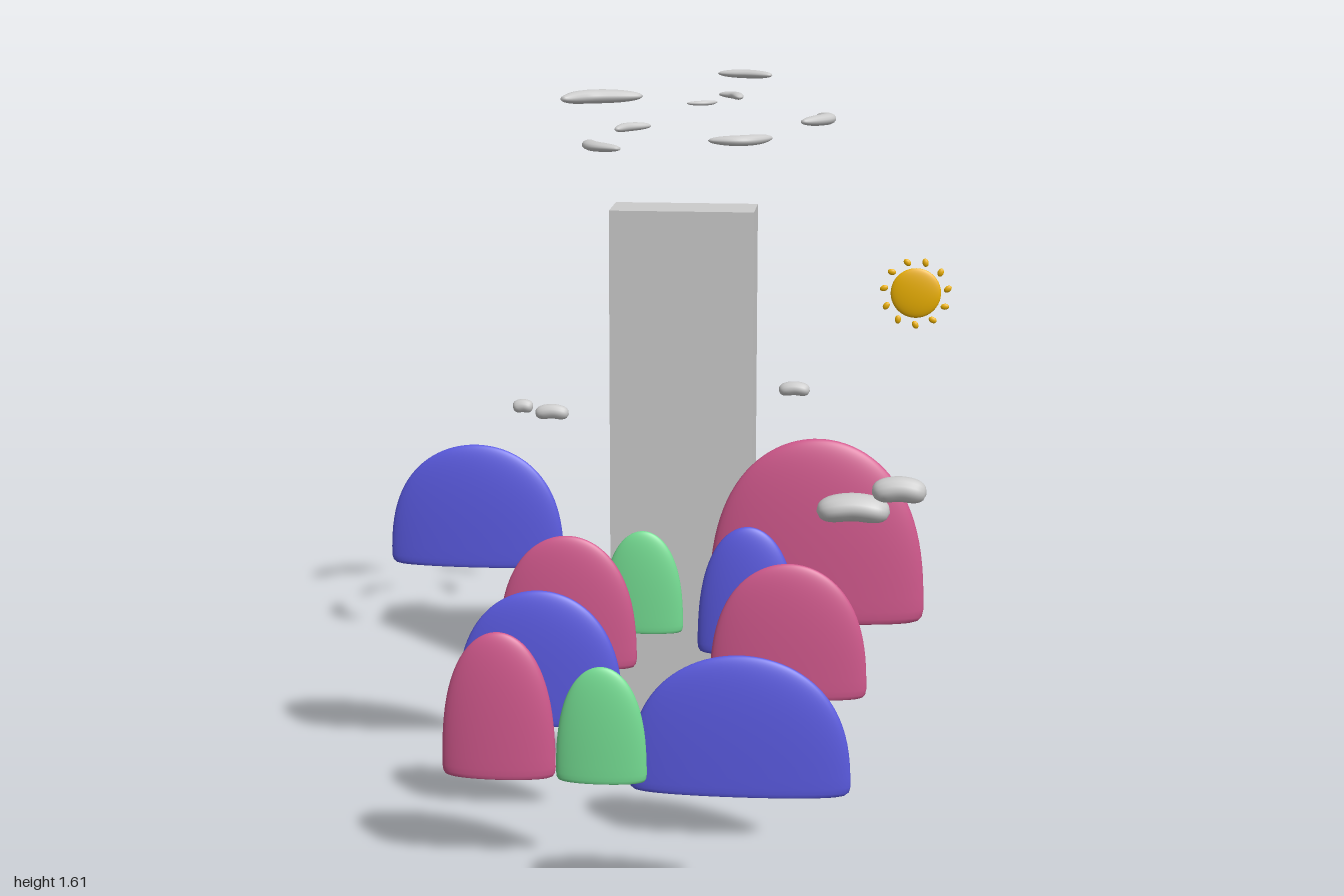
import * as THREE from 'three';
import { mergeVertices } from 'three/addons/utils/BufferGeometryUtils.js';

const mat = (color) => new THREE.MeshStandardMaterial({ color });
const grey = mat(0xcccccc);
const blue = mat(0x5a5ae0);
const red = mat(0xd0588c);
const green = mat(0x74dc92);
const gold = mat(0xf0b400);

function add(parent, name, geometry, material, x = 0, y = 0, z = 0) {
  const mesh = new THREE.Mesh(geometry, material);
  mesh.name = name;
  mesh.position.set(x, y, z);
  parent.add(mesh);
  return mesh;
}

// Unit arch profile: flat base, small rounded foot, domed top
function archGeometry() {
  const pts = [[0, 0], [0.9, 0], [0.9, 0], [0.95, 0.008], [0.985, 0.03]]
    .map(([x, y]) => new THREE.Vector2(x, y));
  const steps = 24;
  for (let i = 0; i <= steps; i++) {
    const a = (i / steps) * Math.PI / 2;
    const t = Math.max(0.07, Math.pow(Math.sin(a), 2 / 2.8));
    if (t > 0.07 || i === 0) {
      pts.push(new THREE.Vector2(i === steps ? 0 : Math.sqrt(1 - Math.pow(t, 2.8)), t));
    }
  }
  return new THREE.LatheGeometry(pts, 48);
}

// Rounded sausage along a three-point bend; radii are half sizes per axis,
// a higher power gives blunter ends
function bean(points, radii, power) {
  const curve = new THREE.CatmullRomCurve3(points.map((p) => new THREE.Vector3(...p)));
  const rings = 28, sides = 14;
  const geometry = new THREE.TubeGeometry(curve, rings, 1, sides);
  const pos = geometry.attributes.position;
  const scale = new THREE.Vector3(...radii);
  const v = new THREE.Vector3();
  for (let i = 0; i <= rings; i++) {
    const c = curve.getPointAt(i / rings);
    const r = Math.sqrt(Math.max(0, 1 - Math.pow(Math.abs(2 * i / rings - 1), power)));
    for (let j = 0; j <= sides; j++) {
      const k = i * (sides + 1) + j;
      v.fromBufferAttribute(pos, k).sub(c).multiply(scale).multiplyScalar(r).add(c);
      pos.setXYZ(k, v.x, v.y, v.z);
    }
  }
  geometry.deleteAttribute('uv');
  geometry.deleteAttribute('normal');
  const merged = mergeVertices(geometry, 1e-5);
  merged.computeVertexNormals();
  return merged;
}

export function createModel() {
  const model = new THREE.Group();
  model.name = 'towerLandscape';

  // Tower
  add(model, 'tower', new THREE.BoxGeometry(0.355, 1.295, 0.157), grey, -0.0125, 0.6475, -0.648);

  // Floating hills: x range, y range, z, depth, material
  const hills = new THREE.Group();
  hills.name = 'hills';
  model.add(hills);
  const arch = archGeometry();
  [
    [0.085, 0.595, 0.37, 0.81, -0.237, 0.095, red],
    [-0.66, -0.25, 0.51, 0.80, -0.142, 0.062, blue],
    [-0.147, 0.04, 0.385, 0.625, -0.05, 0.05, green],
    [0.083, 0.31, 0.375, 0.67, 0.062, 0.06, blue],
    [-0.34, -0.033, 0.40, 0.697, 0.28, 0.06, red],
    [0.14, 0.475, 0.395, 0.688, 0.433, 0.06, red],
    [-0.387, -0.033, 0.36, 0.65, 0.555, 0.06, blue],
    [0, 0.452, 0.29, 0.582, 0.752, 0.06, blue],
    [-0.135, 0.048, 0.345, 0.583, 0.858, 0.05, green],
    [-0.345, -0.12, 0.39, 0.683, 0.969, 0.06, red],
  ].forEach(([x0, x1, y0, y1, z, d, m], i) => {
    const hill = add(hills, `hill${i + 1}`, arch, m, (x0 + x1) / 2, y0, z);
    hill.scale.set((x1 - x0) / 2, y1 - y0, d / 2);
  });

  // Bean clouds: x range, y range, z, depth
  const clouds = new THREE.Group();
  clouds.name = 'clouds';
  model.add(clouds);
  [
    [0.35, 0.515, 0.682, 0.757, 0.075, 0.08],
    [0.473, 0.595, 0.73, 0.798, 0.075, 0.06],
    [0.25, 0.322, 0.92, 0.958, -0.178, 0.035],
    [-0.333, -0.288, 0.922, 0.957, 0.075, 0.03],
    [-0.283, -0.207, 0.908, 0.947, 0.075, 0.032],
  ].forEach(([x0, x1, y0, y1, z, d], i) => {
    const h = y1 - y0, r = h * 0.42;
    const path = [[x0, y0 + r, z], [(x0 + x1) / 2, y1 - r, z], [x1, y0 + r, z]];
    add(clouds, `cloud${i + 1}`, bean(path, [r, r, d / 2], 4), grey);
  });

  // Crescent smoke wisps above the tower: height, three (x, z) points, half width, half height
  const smoke = new THREE.Group();
  smoke.name = 'smokeRing';
  model.add(smoke);
  [
    [1.535, [-0.345, -0.87], [-0.285, -0.95], [-0.147, -0.98], 0.027, 0.018],
    [1.595, [0.045, -0.975], [0.115, -0.965], [0.187, -0.93], 0.018, 0.011],
    [1.507, [0.31, -0.81], [0.335, -0.735], [0.275, -0.645], 0.021, 0.014],
    [1.48, [0.06, -0.465], [0.145, -0.475], [0.208, -0.545], 0.022, 0.013],
    [1.455, [-0.245, -0.635], [-0.225, -0.545], [-0.152, -0.49], 0.021, 0.012],
    [1.475, [-0.19, -0.73], [-0.168, -0.795], [-0.112, -0.835], 0.014, 0.011],
    [1.557, [0.06, -0.82], [0.1, -0.795], [0.118, -0.73], 0.015, 0.009],
    [1.557, [0, -0.575], [0.045, -0.588], [0.07, -0.62], 0.009, 0.006],
  ].forEach(([y, a, b, c, w, h], i) => {
    const path = [a, b, c].map(([x, z]) => [x, y, z]);
    add(smoke, `wisp${i + 1}`, bean(path, [w, h, w], 2.2), grey);
  });

  // Sun: flattened disc with a ring of small rays
  const sun = new THREE.Group();
  sun.name = 'sun';
  sun.position.set(0.56, 1.033, -0.988);
  model.add(sun);
  const disc = add(sun, 'sunDisc', new THREE.SphereGeometry(1, 32, 20), gold);
  disc.scale.set(0.065, 0.065, 0.012);
  const rayGeometry = new THREE.SphereGeometry(1, 12, 8);
  const rays = 11;
  for (let i = 0; i < rays; i++) {
    const a = -Math.PI / 2 + (i / rays) * Math.PI * 2;
    const ray = add(sun, 'sunRay', rayGeometry, gold, 0.083 * Math.cos(a), 0.083 * Math.sin(a), 0);
    ray.scale.set(0.011, 0.008, 0.005);
    ray.rotation.z = a + 0.5;
  }
  return model;
}
